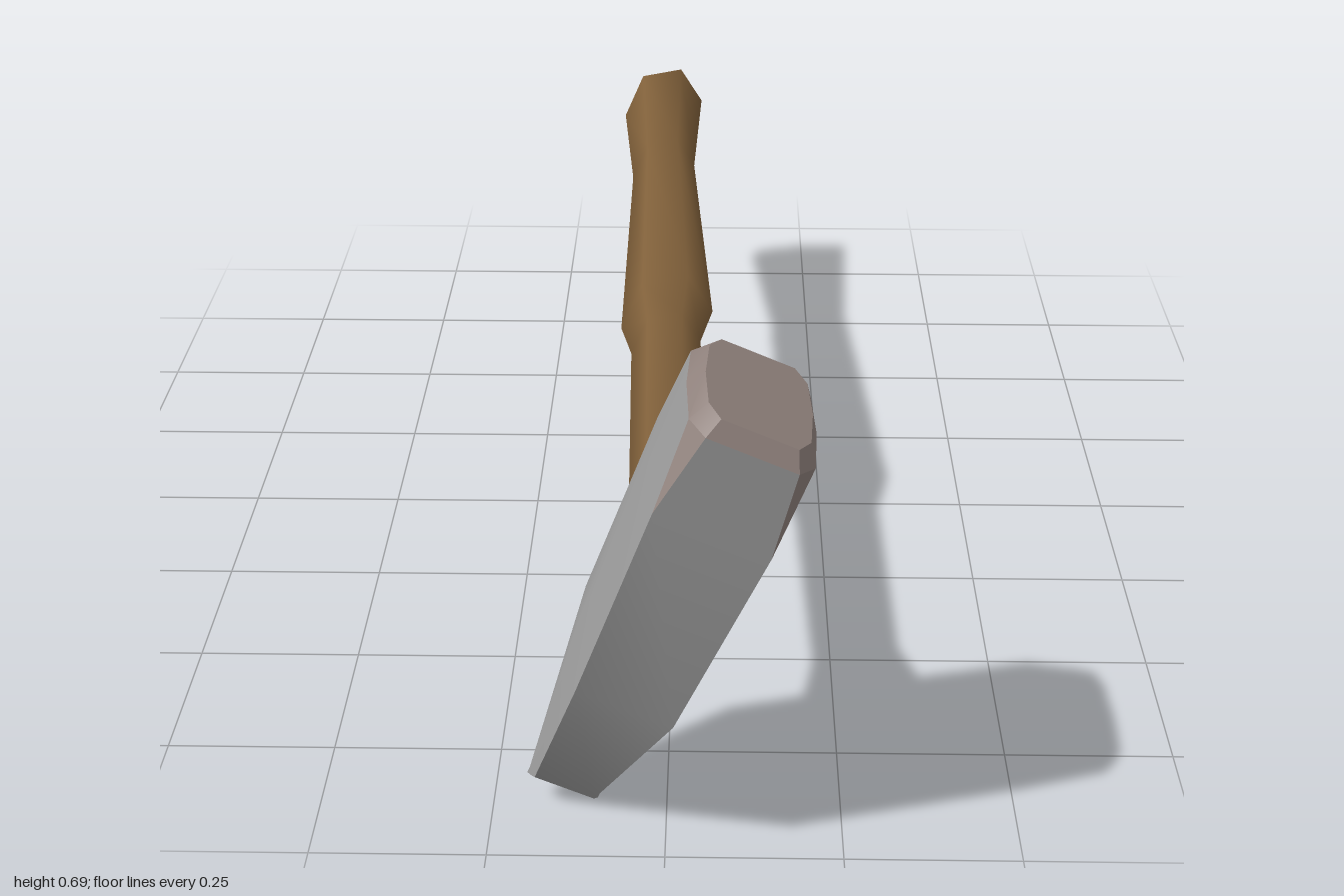
import * as THREE from 'three';
import { toCreasedNormals } from 'three/addons/utils/BufferGeometryUtils.js';

const TILT = 0.407; // lean of the head and handle section about z

const steel = new THREE.MeshStandardMaterial({ color: 0x9a9a9a });
steel.name = 'steel grey';
const face = new THREE.MeshStandardMaterial({ color: 0x8f817c });
face.name = 'worn face';
const wood = new THREE.MeshStandardMaterial({ color: 0x80603a });
wood.name = 'brown wood';

// Adds a triangle unless it is degenerate
function tri(out, a, b, c) {
  const n = b.clone().sub(a).cross(c.clone().sub(a));
  if (n.length() > 1e-8) for (const p of [a, b, c]) out.push(p.x, p.y, p.z);
}

// Joins two neighbouring rings; keep(j) selects which sides are made
function band(out, r0, r1, keep = () => true) {
  r0.forEach((p, j) => {
    if (!keep(j)) return;
    const k = (j + 1) % r0.length;
    tri(out, p, r1[j], r1[k]);
    tri(out, p, r1[k], r0[k]);
  });
}

// Closes a ring with a fan
function cap(out, ring, end) {
  const c = new THREE.Vector3();
  ring.forEach(p => c.addScaledVector(p, 1 / ring.length));
  ring.forEach((p, j) => {
    const q = ring[(j + 1) % ring.length];
    if (end) tri(out, c, q, p);
    else tri(out, c, p, q);
  });
}

function makeMesh(name, coords, material, crease) {
  const g = new THREE.BufferGeometry();
  g.setAttribute('position', new THREE.Float32BufferAttribute(coords, 3));
  const mesh = new THREE.Mesh(toCreasedNormals(g, crease), material);
  mesh.name = name;
  return mesh;
}

// Head section: ridge half-width m, side edge (e, c), front edge (f, b)
function headRing([y, m, e, c, f, b]) {
  return [[m, 0], [e, c], [f, b], [-f, b], [-e, c], [-m, 0], [-e, -c], [-f, -b], [f, -b], [e, -c]]
    .map(([x, z]) => new THREE.Vector3(x, y, z));
}

// Handle section: tall hexagon, leaned with the head
function handleRing([z, cx, cy, k]) {
  const co = Math.cos(TILT), si = Math.sin(TILT);
  return [[0.066, -0.047], [0.066, 0.047], [0, 0.092], [-0.066, 0.047], [-0.066, -0.047], [0, -0.092]]
    .map(([u, v]) => new THREE.Vector3(cx + k * (co * u + si * v), cy + k * (co * v - si * u), z));
}

function createModel() {
  const model = new THREE.Group();
  model.name = 'hammer';

  // Head: wedge peen at the bottom, chamfered striking face at the top
  const rings = [
    [0, 0.055, 0.05, 0.004, 0.05, 0.004],
    [0.01, 0.055, 0.046, 0.02, 0.046, 0.02],
    [0.244, 0.082, 0.072, 0.135, 0.072, 0.135],
    [0.54, 0.095, 0.085, 0.135, 0.085, 0.135],
    [0.67, 0.095, 0.09, 0.1, 0.066, 0.135],
    [0.695, 0.078, 0.073, 0.085, 0.055, 0.118],
  ].map(headRing);
  const isCorner = j => [1, 3, 6, 8].includes(j);
  const body = [], strike = [];
  cap(body, rings[0], false);
  for (let i = 0; i < 3; i++) band(body, rings[i], rings[i + 1]);
  band(body, rings[3], rings[4], j => !isCorner(j));
  band(strike, rings[3], rings[4], isCorner);
  band(strike, rings[4], rings[5]);
  cap(strike, rings[5], true);

  const head = new THREE.Group();
  head.name = 'head';
  head.position.set(-0.151, 0.023, 0.865);
  head.rotation.z = -TILT;
  head.add(makeMesh('headBody', body, steel, 0.6), makeMesh('strikingFace', strike, face, 0.45));
  model.add(head);

  // Handle: flared collar, slim neck, swelling grip and flared end
  const stations = [
    [0.78, 0.001, 0.391, 0.98],
    [0.73, 0, 0.391, 0.96],
    [0.62, -0.007, 0.391, 0.68],
    [0.17, -0.017, 0.39, 0.72],
    [0.065, -0.018, 0.39, 0.97],
    [-0.62, -0.04, 0.387, 0.75],
    [-0.985, -0.049, 0.385, 1],
    [-1, -0.049, 0.385, 0.88],
  ].map(handleRing);
  const grip = [], butt = [];
  cap(grip, stations[0], false);
  for (let i = 0; i < 6; i++) band(grip, stations[i], stations[i + 1]);
  band(butt, stations[6], stations[7]);
  cap(butt, stations[7], true);
  const handle = new THREE.Group();
  handle.name = 'handle';
  handle.add(makeMesh('handleGrip', grip, wood, 1.25), makeMesh('handleEnd', butt, wood, 0.3));
  model.add(handle);

  return model;
}

export { createModel };
